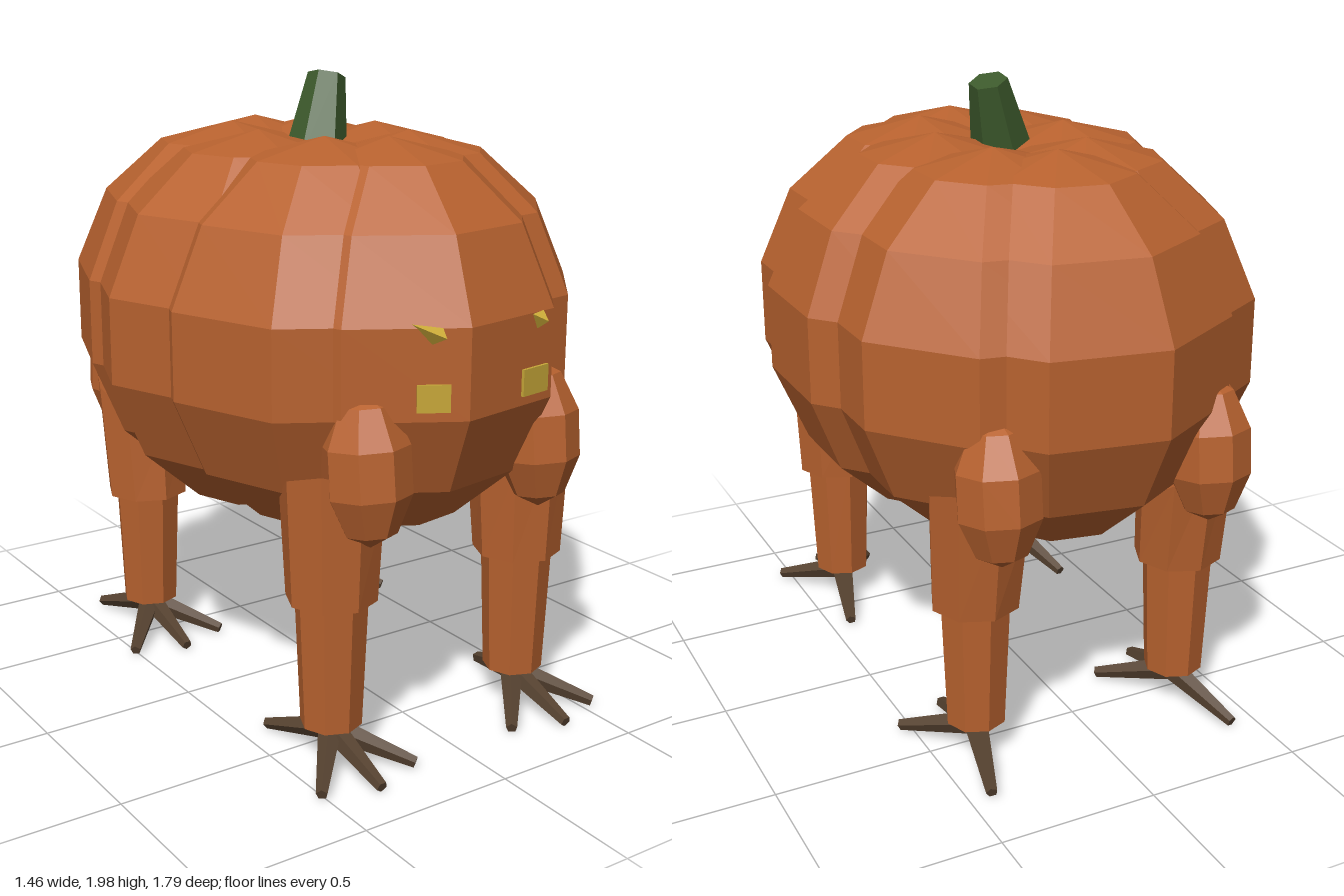
import * as THREE from 'three';
import { ConvexGeometry } from 'three/addons/geometries/ConvexGeometry.js';

const makeMaterial = (name, color) => {
  const m = new THREE.MeshStandardMaterial({ color });
  m.name = name;
  return m;
};

// Faceted mesh with its own face normals
function part(name, geometry, material) {
  const g = geometry.index ? geometry.toNonIndexed() : geometry;
  g.computeVertexNormals();
  const mesh = new THREE.Mesh(g, material);
  mesh.name = name;
  return mesh;
}

// Tapered limb between two points
function limb(name, from, to, r0, r1, sides, material) {
  const a = new THREE.Vector3(...from), b = new THREE.Vector3(...to);
  const dir = b.clone().sub(a);
  const mesh = part(name, new THREE.CylinderGeometry(r1, r0, dir.length(), sides), material);
  mesh.position.copy(a).add(b).multiplyScalar(0.5);
  mesh.quaternion.setFromUnitVectors(new THREE.Vector3(0, 1, 0), dir.normalize());
  return mesh;
}

export function createModel() {
  const orange = makeMaterial('pumpkin orange', 0xb8622f);
  const green = makeMaterial('stem green', 0x3d5a2c);
  const brown = makeMaterial('claw brown', 0x564230);
  const yellow = makeMaterial('eye yellow', 0xc8a838);
  const model = new THREE.Group();
  model.name = 'walkingPumpkin';

  // Body: eight overlapping lobes around an oval
  const body = new THREE.Group();
  body.name = 'body';
  for (let i = 0; i < 8; i++) {
    const a = (i * Math.PI) / 4;
    const g = new THREE.SphereGeometry(1, 9, 7).scale(0.539, 0.6, 0.539);
    const lobe = part('lobe', g, orange);
    lobe.position.set(0.01 + 0.22 * Math.cos(a), 1.23, 0.375 * Math.sin(a));
    body.add(lobe);
  }
  model.add(body);

  // Leaning stem
  model.add(limb('stem', [-0.01, 1.7, 0.01], [0.07, 1.98, -0.04], 0.105, 0.06, 6, green));

  // Eye plates lying on the two front facets
  for (const [x, z, w, turn] of [[-0.172, 0.844, 0.095, -0.526], [0.192, 0.85, 0.11, 0.17]]) {
    const eye = part('eye', new THREE.BoxGeometry(w, 0.08, 0.009), yellow);
    eye.position.set(x, 1.165, z);
    eye.rotation.y = turn;
    model.add(eye);
  }

  // Spiky brows
  const brows = [
    [[-0.25, 1.39, 0.76], [-0.145, 1.37, 0.84], [-0.18, 1.3, 0.8], [-0.17, 1.345, 0.895]],
    [[0.165, 1.37, 0.82], [0.245, 1.38, 0.8], [0.2, 1.3, 0.82], [0.2, 1.345, 0.89]],
  ];
  for (const points of brows) {
    model.add(part('brow', new ConvexGeometry(points.map((p) => new THREE.Vector3(...p))), yellow));
  }

  // Legs: side is +1 on the left, end is +1 at the front
  for (const side of [1, -1]) for (const end of [1, -1]) {
    const leg = new THREE.Group();
    leg.name = end > 0 ? 'frontLeg' : 'backLeg';
    leg.position.set(0.01 + side * 0.355, 0, end > 0 ? 0.6 : -0.545);

    const shin = part('shin', new THREE.CylinderGeometry(0.112, 0.094, 0.43, 8), orange);
    shin.position.y = 0.345;
    leg.add(shin);

    // Thigh with its top cut at a slant, high on the outer corner
    const thighShape = new THREE.CylinderGeometry(0.155, 0.138, 0.3, 8);
    thighShape.translate(0, 0.68, 0);
    const p = thighShape.attributes.position;
    for (let i = 0; i < p.count; i++) {
      if (p.getY(i) < 0.7) continue;
      const out = (side * p.getX(i) + end * p.getZ(i)) / 0.22;
      p.setXYZ(i, p.getX(i), 0.84 + 0.11 * out, p.getZ(i) + end * (end > 0 ? 0 : 0.03));
    }
    leg.add(part('thigh', thighShape, orange));

    // Shoulder knob
    const knob = part('shoulder', new THREE.SphereGeometry(1, 8, 5).scale(0.135, 0.23, 0.14), orange);
    knob.position.set(-side * (end > 0 ? 0.04 : 0.005), 0.95, end * (end > 0 ? 0.115 : 0.15));
    knob.rotation.x = -end * 0.1;
    leg.add(knob);

    // Foot: three toes forward and one behind
    const foot = new THREE.Group();
    foot.name = 'foot';
    for (const degrees of [0, 40, -40, side * 165]) {
      const a = THREE.MathUtils.degToRad(degrees);
      const s = Math.sin(a), c = Math.cos(a);
      foot.add(limb('toe', [-0.01 * s, 0.115, -0.01 * c], [0.262 * s, 0.033, 0.262 * c],
        0.04, 0.018, 5, brown));
    }
    leg.add(foot);
    model.add(leg);
  }
  return model;
}
